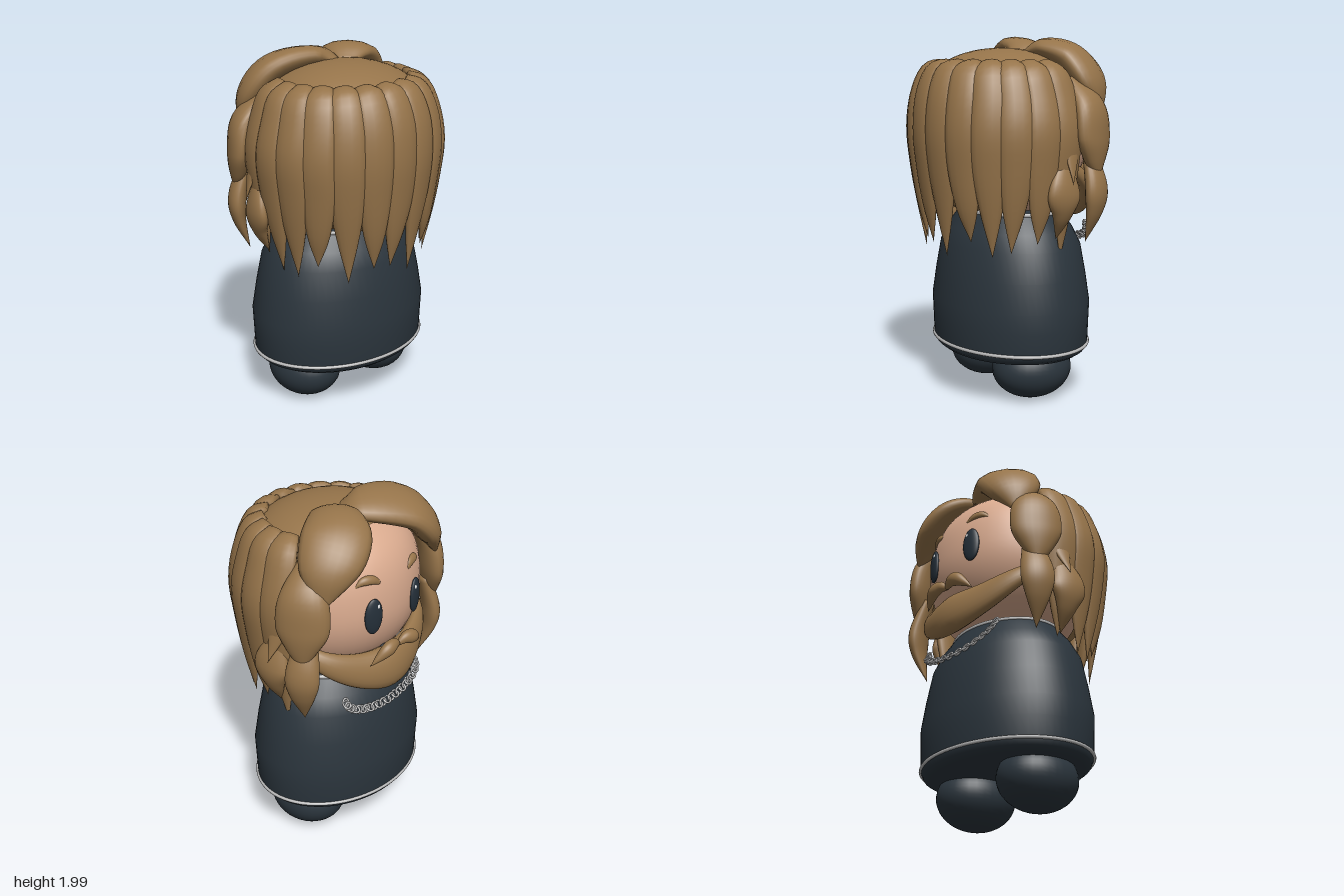
import * as THREE from 'three';

const mat = (name, color) => {
  const m = new THREE.MeshStandardMaterial({ color });
  m.name = name;
  return m;
};

// Closed tapering lock: each point is [x, y, z, halfWidth, halfThickness].
// The flat side faces away from the point (0, cy, 0).
function sweep(pts, cy = 1.4, ridge = 0, steps = 22, sides = 14) {
  const path = new THREE.CatmullRomCurve3(pts.map(p => new THREE.Vector3(p[0], p[1], p[2])));
  const size = new THREE.CatmullRomCurve3(pts.map(p => new THREE.Vector3(p[3], p[4], 0)), false, 'catmullrom', 0.5);
  const pos = [], idx = [];
  for (let i = 0; i <= steps + 2; i++) {
    const t = Math.min(1, Math.max(0, (i - 1) / steps));
    const end = i === 0 || i === steps + 2 ? 0 : 1;
    const c = path.getPoint(t), s = size.getPoint(t), T = path.getTangent(t);
    const N = new THREE.Vector3(c.x, c.y - cy, c.z);
    N.addScaledVector(T, -N.dot(T)).normalize();
    const B = new THREE.Vector3().crossVectors(T, N);
    for (let j = 0; j < sides; j++) {
      const a = j / sides * Math.PI * 2;
      const k = end * (1 + ridge * Math.cos(a * 12));
      const v = c.clone()
        .addScaledVector(B, Math.cos(a) * Math.max(0, s.x) * k)
        .addScaledVector(N, Math.sin(a) * Math.max(0, s.y) * k);
      pos.push(v.x, v.y, v.z);
      if (i < steps + 2) {
        const j2 = (j + 1) % sides, r = i * sides, q = r + sides;
        idx.push(r + j, q + j, r + j2, r + j2, q + j, q + j2);
      }
    }
  }
  const g = new THREE.BufferGeometry();
  g.setAttribute('position', new THREE.Float32BufferAttribute(pos, 3));
  g.setIndex(idx);
  g.computeVertexNormals();
  return g;
}

// Rounded head form, fuller at the crown than a plain sphere
function crown(geo, sx, sy, sz) {
  const p = geo.attributes.position;
  for (let i = 0; i < p.count; i++) {
    const y = p.getY(i), k = y > 0 ? 1 + 0.25 * y * y : 1;
    p.setXYZ(i, p.getX(i) * k * sx, y * sy, p.getZ(i) * k * sz);
  }
  geo.computeVertexNormals();
  return geo;
}

export function createModel() {
  const model = new THREE.Group();
  const hair = mat('hair brown', 0x96744a);
  const skin = mat('skin', 0xdaab8f);
  const cloth = mat('dark cloth', 0x2b353d);
  const silver = mat('silver', 0xbababa);
  const eyeMat = mat('eye dark', 0x25303a);
  const white = mat('white', 0xffffff);
  const capMat = mat('scalp brown', 0x96744a);
  capMat.side = THREE.DoubleSide;

  const add = (name, geo, material, x = 0, y = 0, z = 0) => {
    const m = new THREE.Mesh(geo, material);
    m.name = name;
    m.position.set(x, y, z);
    model.add(m);
    return m;
  };
  const ball = (name, material, x, y, z, sx, sy, sz) => {
    const m = add(name, new THREE.SphereGeometry(1, 32, 24), material, x, y, z);
    m.scale.set(sx, sy, sz);
    return m;
  };

  // Robe: oval in plan
  const profile = [[0, 0.24], [0.44, 0.24], [0.475, 0.245], [0.508, 0.265], [0.525, 0.3], [0.53, 0.42], [0.535, 0.53],
    [0.507, 0.69], [0.472, 0.85], [0.42, 0.94], [0.345, 1.03], [0.33, 1.045], [0, 1.06]];
  add('robe', new THREE.LatheGeometry(profile.map(p => new THREE.Vector2(...p)), 64), cloth, 0, 0, -0.05)
    .scale.z = 0.78;
  const trim = (name, r, tube, y) => {
    const g = new THREE.TorusGeometry(r, tube, 8, 72).rotateX(Math.PI / 2);
    add(name, g, silver, 0, y, -0.05).scale.z = 0.78;
  };
  trim('hemTrim', 0.527, 0.01, 0.3);
  trim('collarTrim', 0.34, 0.012, 1.035);

  // Head and scalp
  add('head', crown(new THREE.SphereGeometry(1, 48, 36), 0.5, 0.46, 0.47), skin, 0, 1.45, 0);
  const cap = new THREE.SphereGeometry(1, 48, 24, 0, Math.PI * 2, 0, Math.PI / 2).rotateX(Math.PI / 3);
  add('scalpHair', crown(cap, 0.52, 0.48, 0.49), capMat, 0, 1.45, 0);

  // Ring of hanging strands around the back and sides
  const strands = 13;
  for (let i = 0; i < strands; i++) {
    const a = (i / (strands - 1) - 0.5) * 3.55;
    const tip = 0.86 + 0.05 * Math.sin(i * 2.4 + 1);
    const sway = 0.05 * Math.sin(i * 1.7);
    const slope = Math.sin(a) ** 2;
    const at = (r, y, w, th, da = 0) => [Math.sin(a + da) * r * 1.1, y, Math.cos(a + da) * r, w, th];
    add('backStrand', sweep([
      at(0.33, 1.845, 0.055, 0.025, -0.05), at(0.40, 1.815 - 0.025 * slope, 0.085, 0.04, -0.02),
      at(0.46 - 0.015 * slope, 1.69 - 0.02 * slope, 0.094, 0.045),
      at(0.482, 1.5, 0.097, 0.045), at(0.47, 1.3, 0.092, 0.04), at(0.445, 1.08, 0.06, 0.03, sway / 2),
      at(0.42, tip, 0, 0, sway)]), hair);
  }

  for (const s of [1, -1]) {
    const side = s > 0 ? 'left' : 'right';
    const lock = (name, pts, cy, ridge) =>
      add(side + name, sweep(pts.map(([x, ...r]) => [x * s, ...r]), cy, ridge, 24, 24), hair);

    // Foot
    ball(side + 'Foot', cloth, 0.25 * s, 0.17, -0.05, 0.197, 0.17, 0.228);

    // Swept fringe meeting at the parting
    const x0 = s > 0 ? 0.09 : -0.04;
    lock('Fringe', [[x0, 1.9, -0.09, 0.05, 0.015], [x0 + 0.07, 1.925, -0.17, 0.13, 0.055],
      [0.27, 1.87, -0.285, 0.175, 0.08], [0.39, 1.73, -0.335, 0.14, 0.07], [0.45, 1.56, -0.36, 0, 0]], 1.4, 0.012);

    // Locks framing the face
    lock('TempleLock', [[0.39, 1.76, -0.19, 0.04, 0.03], [0.48, 1.62, -0.26, 0.125, 0.065],
      [0.505, 1.45, -0.275, 0.14, 0.065], [0.515, 1.33, -0.28, 0.08, 0.045], [0.53, 1.23, -0.295, 0, 0]]);
    lock('CheekLock', [[0.46, 1.4, -0.27, 0.05, 0.03], [0.52, 1.2, -0.285, 0.09, 0.05],
      [0.52, 1.08, -0.28, 0.075, 0.04], [0.47, 0.89, -0.25, 0, 0]]);
    lock('EarLock', [[0.49, 1.36, -0.1, 0.04, 0.03], [0.535, 1.17, -0.075, 0.105, 0.045],
      [0.52, 1.06, -0.075, 0.065, 0.035], [0.46, 0.92, -0.07, 0, 0]]);
    lock('FlickLock', [[0.46, 1.65, -0.12, 0.04, 0.02], [0.525, 1.4, -0.12, 0.05, 0.02],
      [0.585, 1.22, -0.1, 0, 0]]);

    // Eye with highlight
    const eye = ball(side + 'Eye', eyeMat, 0.165 * s, 1.45, -0.447, 0.052, 0.1, 0.02);
    eye.rotation.y = s * -0.3;
    ball(side + 'EyeHighlight', white, 0.147 * s, 1.505, -0.462, 0.011, 0.015, 0.007);

    // Eyebrow and moustache half
    lock('Eyebrow', [[0.11, 1.62, -0.43, 0.014, 0.01], [0.15, 1.643, -0.42, 0.023, 0.016],
      [0.2, 1.645, -0.402, 0.022, 0.016], [0.25, 1.615, -0.383, 0, 0]]);
    lock('Moustache', [[0, 1.235, -0.48, 0.014, 0.012], [0.05, 1.255, -0.49, 0.034, 0.028],
      [0.1, 1.245, -0.493, 0.038, 0.032], [0.15, 1.21, -0.478, 0.022, 0.02], [0.195, 1.17, -0.458, 0, 0]], 1.22);
  }

  // Mouth and beard band along the jaw
  ball('mouth', eyeMat, 0, 1.2, -0.4, 0.05, 0.018, 0.02);
  const half = [[0.47, 1.34, -0.12, 0.015, 0.015], [0.39, 1.22, -0.29, 0.055, 0.035], [0.21, 1.125, -0.39, 0.095, 0.05]];
  const beard = [...half, [0, 1.09, -0.432, 0.122, 0.065], ...half.map(([x, ...r]) => [-x, ...r]).reverse()];
  add('beard', sweep(beard, 1.02, 0, 40, 20), hair);

  // Chain necklace hanging in a half oval before the chest
  const link = new THREE.TorusGeometry(0.021, 0.006, 6, 12);
  const count = 27;
  for (let i = 0; i < count; i++) {
    const a = i / (count - 1) * Math.PI, drop = Math.sin(a);
    const m = add('chainLink', link, silver, -Math.cos(a) * 0.29, 0.955 - 0.1 * drop, -0.375 - 0.045 * drop);
    m.rotation.set(i % 2 ? 0.9 : 0.3, 0, Math.atan2(-0.1 * Math.cos(a), 0.29 * drop));
    m.scale.x = 1.1;
  }
  return model;
}
